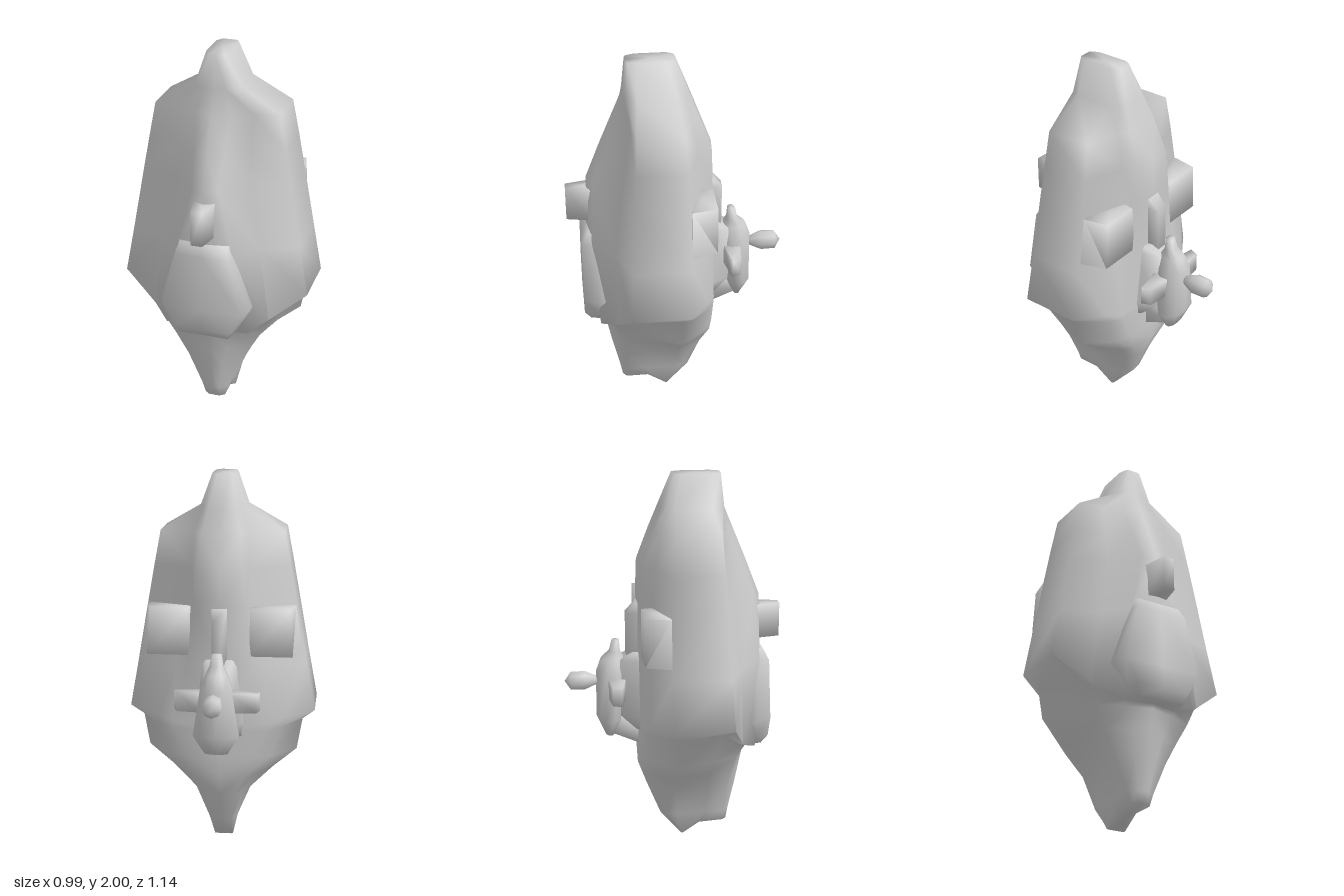
import * as THREE from 'three';
import { toCreasedNormals } from 'three/addons/utils/BufferGeometryUtils.js';

const material = new THREE.MeshStandardMaterial({ color: 0xcccccc });
const CREASE = 1.65; // soft shading across all but the sharpest folds

// Skin mirrored rings, listed top to bottom. Each ring is half an outline
// of [x, y, z] points running from the front, round +x, to the back.
function loft(halfRings) {
  const rings = halfRings.map(half => [
    ...half,
    ...half.filter(p => p[0] > 0).reverse().map(([x, y, z]) => [-x, y, z]),
  ]);
  const n = rings[0].length, h = halfRings[0].length;
  const pos = rings.flat(2), index = [];
  for (let i = 0; i < rings.length - 1; i++) {
    for (let j = 0; j < n; j++) {
      const k = (j + 1) % n;
      const a = i * n + j, b = i * n + k, c = a + n, d = b + n;
      if (j < h - 1) index.push(a, c, d, a, d, b);
      else index.push(a, c, b, b, c, d);
    }
  }
  // End caps
  [0, rings.length - 1].forEach((r, end) => {
    const mid = [0, 1, 2].map(q => rings[r].reduce((s, p) => s + p[q], 0) / n);
    const m = pos.length / 3;
    pos.push(...mid);
    for (let j = 0; j < n; j++) {
      const a = r * n + j, b = r * n + (j + 1) % n;
      if (end) index.push(m, b, a);
      else index.push(m, a, b);
    }
  });
  const geo = new THREE.BufferGeometry();
  geo.setAttribute('position', new THREE.Float32BufferAttribute(pos, 3));
  geo.setIndex(index);
  return toCreasedNormals(geo, CREASE);
}

// Level hull ring: y, front z, six x/z pairs, back z
function level([y, front, ...rest]) {
  const ring = [[0, y, front]];
  for (let i = 0; i < 12; i += 2) ring.push([rest[i], y, rest[i + 1]]);
  ring.push([0, y, rest[12]]);
  return ring;
}

// Six-point-a-side rounded section
function oval(y, w, front, back) {
  const m = (front + back) / 2, q = (front - back) * 0.3;
  return [[0, y, front], [w * 0.6, y, front - q * 0.2], [w, y, m + q * 0.6],
    [w, y, m - q * 0.6], [w * 0.6, y, back + q * 0.2], [0, y, back]];
}

// Four-cornered section with different front and back half-widths
const slab = (y, wFront, front, wBack, back) => [[wFront, y, front], [wBack, y, back]];

export function createModel() {
  const model = new THREE.Group();
  const add = (name, geo, parent = model) => {
    const mesh = new THREE.Mesh(geo, material);
    mesh.name = name;
    parent.add(mesh);
    return mesh;
  };

  // Hull: tapered upper shell with front and back ridges, overhanging lip, keel
  const upper = [
    [2, .25, .03, .25, .045, .24, .06, .2, .06, .04, .045, .01, .03, 0, 0],
    [1.83, .27, .06, .265, .1, .25, .12, .2, .12, 0, .1, -.04, .07, -.065, -.065],
    [1.71, .32, .09, .285, .19, .24, .325, .22, .325, -.02, .14, -.07, .1, -.11, -.11],
    [1.53, .395, .08, .355, .19, .265, .358, .23, .358, -.03, .15, -.1, .12, -.175, -.185],
    [1.35, .465, .07, .43, .19, .29, .39, .24, .39, -.035, .16, -.115, .135, -.18, -.185],
    [1.02, .475, .15, .45, .26, .335, .448, .255, .448, -.04, .23, -.13, .17, -.18, -.185],
  ];
  const lip = [[0, .56, .43], [.22, .57, .42], [.31, .62, .34], [.495, .76, .27],
    [.495, .76, -.04], [.33, .74, -.145], [.25, .72, -.18], [0, .72, -.185]];
  const underLip = [[0, .55, .41], [.16, .555, .38], [.3, .61, .33], [.38, .71, .22],
    [.43, .7, 0], [.32, .69, -.14], [.24, .68, -.18], [0, .68, -.185]];
  const keel = [
    [.53, .405, .12, .37, .27, .31, .31, .19, .4, 0, .27, -.14, .18, -.18, -.185],
    [.42, .38, .09, .35, .21, .295, .22, .18, .27, 0, .19, -.13, .13, -.175, -.185],
    [.3, .355, .06, .34, .15, .28, .14, .18, .15, 0, .11, -.09, .07, -.13, -.14],
    [.13, .315, .03, .31, .075, .28, .07, .18, .08, .02, .07, -.03, .05, -.065, -.07],
  ];
  const tip = [[0, .07, .3], [.03, .07, .3], [.055, .07, .28], [.055, .07, .16],
    [.05, 0, .06], [.05, 0, .05], [.04, 0, .045], [0, 0, .045]];
  add('hull', loft([...upper.map(level), lip, underLip, ...keel.map(level), tip]));

  // Raised plate on the front: y, face half-width, face z, rim half-width
  const plate = [
    [1.08, .12, .472, .14], [1.02, .14, .503, .155], [.72, .21, .503, .24],
    [.6, .15, .503, .17], [.55, .13, .47, .14],
  ];
  add('chinPlate', loft(plate.map(([y, w, z, rim]) =>
    [[0, y, z], [w, y, z], [rim, y, .43], [rim, y, .36], [0, y, .36]])));

  // Small block above the plate
  add('frontBlock', loft([slab(1.3, .057, .45, .057, .44), slab(1.12, .057, .45, .057, .44)]
    .map(([front, back]) => [[.03, front[1], .573], front, back])));

  // Pair of pods on the rear shoulders, slightly wider below
  for (const [side, s] of [['left', 1], ['right', -1]]) {
    add(side + 'RearPod', loft([
      slab(1.33, .125, -.045, .1, -.178), slab(1.08, .16, -.045, .115, -.178),
    ])).position.x = s * 0.265;
  }

  // Rear attachment: spine strip, mount and lower strut
  const rear = new THREE.Group();
  rear.name = 'rearAttachment';
  model.add(rear);
  add('spineStrip', loft([
    slab(1.33, .045, -.15, .04, -.187), slab(1.27, .045, -.15, .03, -.245),
    slab(.9, .045, -.15, .03, -.245),
  ]), rear);
  add('mount', loft([
    slab(1.06, .08, -.16, .05, -.21), slab(1.02, .1, -.16, .06, -.28),
    slab(.72, .14, -.16, .08, -.28), slab(.65, .14, -.16, .1, -.2),
  ]), rear);
  add('lowerStrut', loft([
    [[.05, .66, -.16], [.05, .71, -.32]], [[.05, .54, -.16], [.05, .61, -.32]],
  ]), rear);

  // Rear body, narrow at the top and wide low down
  add('rearBody', loft([
    oval(1.12, .025, -.28, -.32), oval(1.06, .035, -.275, -.335),
    oval(1.02, .055, -.25, -.38), oval(.95, .08, -.24, -.405),
    oval(.7, .118, -.27, -.405), oval(.6, .06, -.31, -.36),
  ]), rear);

  // Stub wings, outline in plan extruded upward
  for (const [side, s] of [['left', 1], ['right', -1]]) {
    const plan = new THREE.Shape([[.04, .345], [.08, .345], [.205, .33], [.222, .28], [.08, .255], [.04, .255]]
      .map(([x, z]) => new THREE.Vector2(s * x, z)));
    const wing = new THREE.ExtrudeGeometry(plan, { depth: 0.1, bevelEnabled: false });
    wing.rotateX(-Math.PI / 2).translate(0, 0.82, 0);
    add(side + 'StubWing', toCreasedNormals(wing, CREASE), rear);
  }

  // Faceted tail bulb, pointing backward
  const bulb = new THREE.LatheGeometry([[0, .39], [.025, .405], [.052, .465], [.05, .54], [0, .572]]
    .map(([r, d]) => new THREE.Vector2(r, d)), 8);
  bulb.rotateX(-Math.PI / 2).translate(0, 0.9, 0);
  add('tailBulb', toCreasedNormals(bulb, CREASE), rear);

  return model;
}
